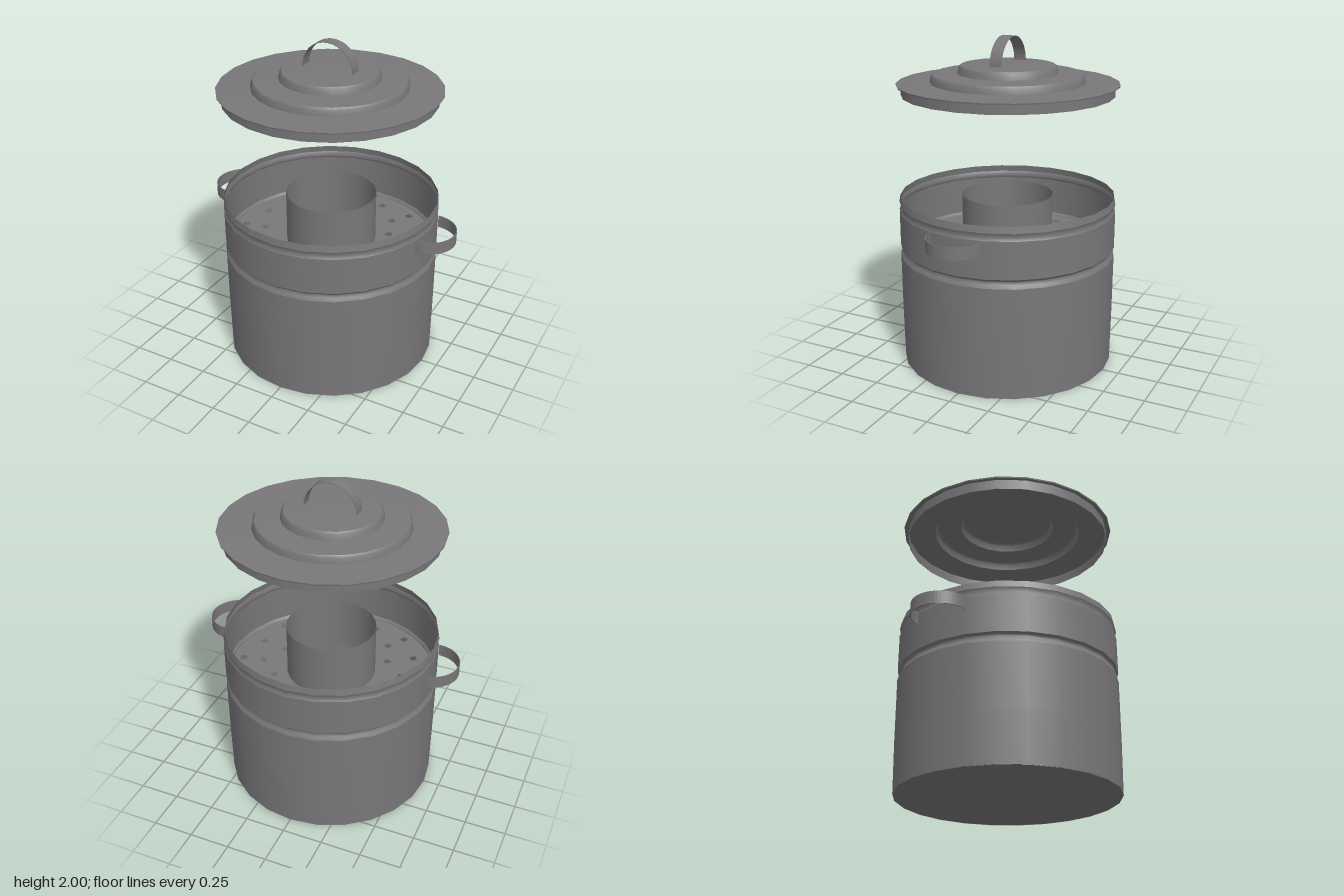
import * as THREE from 'three';
import { mergeGeometries } from 'three/addons/utils/BufferGeometryUtils.js';

const SIDES = 24;

export function createModel() {
  const metal = new THREE.MeshStandardMaterial({ color: 0x79777a, side: THREE.DoubleSide });
  metal.name = 'grey metal';
  const model = new THREE.Group();
  model.name = 'steamerPot';

  const add = (parent, name, geometry) => {
    const mesh = new THREE.Mesh(geometry, metal);
    mesh.name = name;
    parent.add(mesh);
    return mesh;
  };

  // Revolved sheet; each run of [radius, height] points is smooth, runs meet at a crisp edge
  const turned = (...runs) => mergeGeometries(runs.map(run =>
    new THREE.LatheGeometry(run.map(([r, y]) => new THREE.Vector2(r, y)), SIDES)));

  // Half-ring strap in the xy plane, made of a thin flat strip
  const strap = (radius, width) => {
    const t = 0.004, shape = new THREE.Shape();
    shape.absarc(0, 0, radius, 0, Math.PI, false);
    shape.absarc(0, 0, radius - t, Math.PI, 0, true);
    const geometry = new THREE.ExtrudeGeometry(shape, { depth: width, bevelEnabled: false, curveSegments: 14 });
    return geometry.translate(0, 0, -width / 2);
  };

  // Pot body with a seat groove and a rolled rim
  const pot = new THREE.Group();
  pot.name = 'pot';
  model.add(pot);
  add(pot, 'potBottom', turned([[0, 0.005], [0.652, 0.005]].reverse()).scale(1, -1, 1).translate(0, 0.01, 0));
  add(pot, 'potWall', turned(
    [[0.65, 0.003], [0.655, 0.3], [0.657, 0.685]],
    [[0.657, 0.685], [0.648, 0.705], [0.638, 0.72], [0.648, 0.73], [0.657, 0.74]],
    [[0.657, 0.74], [0.657, 0.965]],
    [[0.657, 0.965], [0.646, 0.985], [0.657, 1.01]],
    [[0.657, 1.01], [0.65, 1.05]]));

  // Side handles
  for (const side of [-1, 1]) {
    const geometry = strap(0.172, 0.075).rotateX(Math.PI / 2).rotateY(side * Math.PI / 2);
    add(pot, side > 0 ? 'leftHandle' : 'rightHandle', geometry).position.set(side * 0.638, 0.927, 0);
  }

  // Perforated tray resting on the groove
  const tray = new THREE.Shape().absarc(0, 0, 0.636, 0, Math.PI * 2, false);
  tray.holes.push(new THREE.Path().absarc(0, 0, 0.274, 0, Math.PI * 2, true));
  const SPOKES = 16, h = 0.02;
  for (let i = 0; i < SPOKES; i++) {
    const a = (i + 0.5) / SPOKES * Math.PI * 2;
    for (const r of i % 2 ? [0.36, 0.53] : [0.44, 0.57]) {
      const corners = [[-h, -h], [-h, h], [h, h], [h, -h]].map(([u, v]) => new THREE.Vector2(
        (r + u) * Math.cos(a) - v * Math.sin(a), (r + u) * Math.sin(a) + v * Math.cos(a)));
      tray.holes.push(new THREE.Path(corners));
    }
  }
  add(pot, 'steamTray', new THREE.ShapeGeometry(tray, SIDES).rotateX(-Math.PI / 2)).position.y = 0.725;

  // Open chimney in the middle of the tray
  add(pot, 'steamTube', new THREE.CylinderGeometry(0.275, 0.275, 0.325, SIDES, 1, true)).position.y = 0.8875;

  // Stepped lid, lifted above the pot
  const lid = new THREE.Group();
  lid.name = 'lid';
  lid.position.x = -0.007;
  model.add(lid);
  add(lid, 'lidSkirt', turned([[0.632, 1.66], [0.632, 1.722]]));
  add(lid, 'lidPlate', turned(
    [[0.658, 1.718], [0.66, 1.726]],
    [[0.66, 1.726], [0.46, 1.732]],
    [[0.46, 1.732], [0.455, 1.765], [0.445, 1.778]],
    [[0.445, 1.778], [0.298, 1.784]],
    [[0.298, 1.784], [0.29, 1.82], [0.28, 1.83]],
    [[0.28, 1.83], [0, 1.832]]));

  // Lid grip
  add(lid, 'lidGrip', strap(0.163, 0.075)).position.y = 1.837;

  return model;
}
